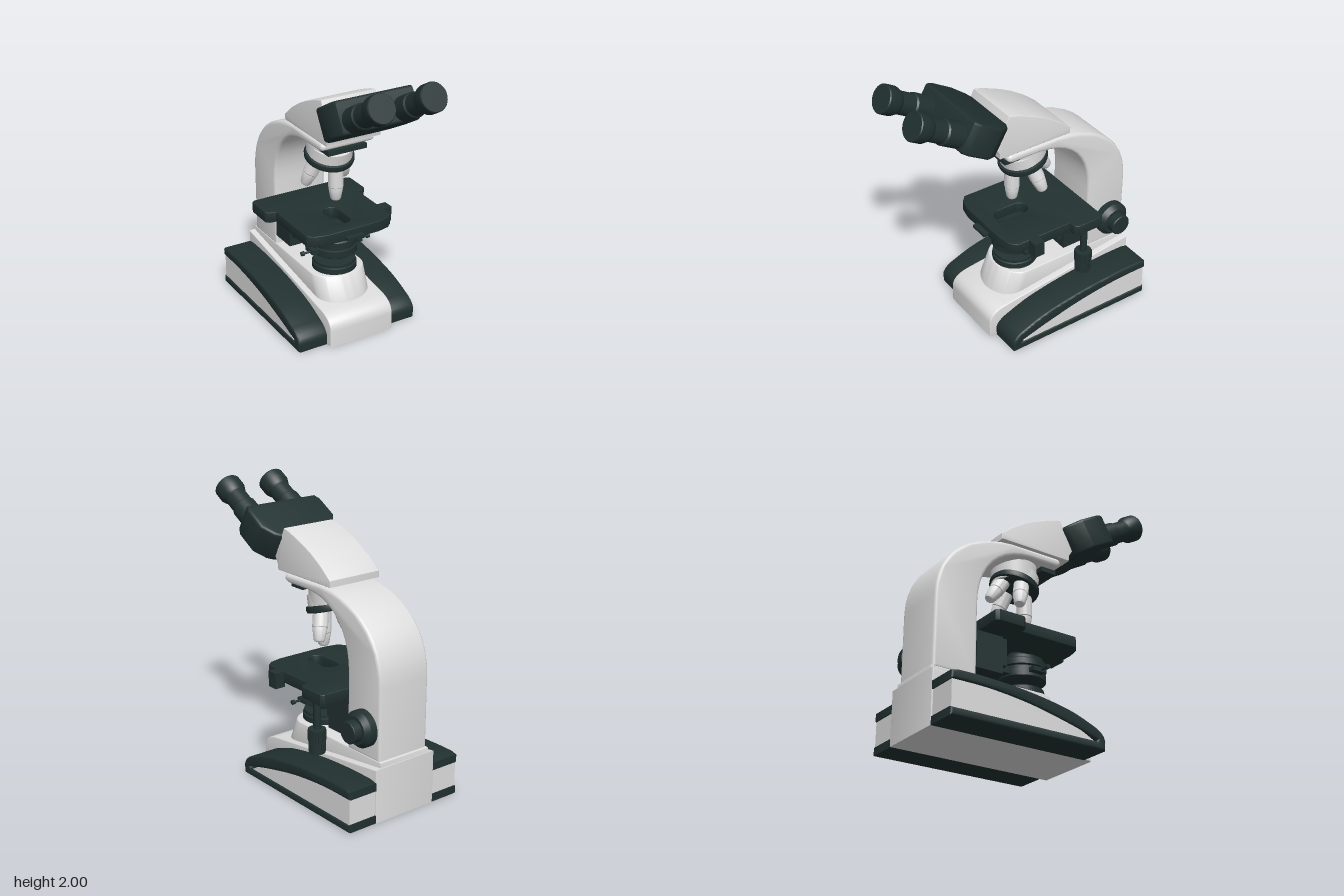
import * as THREE from 'three';
import { toCreasedNormals } from 'three/addons/utils/BufferGeometryUtils.js';

const light = new THREE.MeshStandardMaterial({ color: 0xdedede });
light.name = 'light enamel';
const dark = new THREE.MeshStandardMaterial({ color: 0x223131 });
dark.name = 'dark green black';

const V = (p) => new THREE.Vector2(p[0], p[1]);

function add(parent, name, geometry, material, x = 0, y = 0, z = 0) {
  const mesh = new THREE.Mesh(geometry, material);
  mesh.name = name;
  mesh.position.set(x, y, z);
  parent.add(mesh);
  return mesh;
}

function extrude(shape, depth, bevel) {
  return new THREE.ExtrudeGeometry(shape, {
    depth: depth - 2 * bevel, curveSegments: 10, bevelEnabled: bevel > 0,
    bevelThickness: bevel, bevelSize: bevel, bevelOffset: -bevel, bevelSegments: 3,
  }).translate(0, 0, bevel - depth / 2);
}

// Side profile in (z, y), extruded across x and centred on x = 0
const across = (shape, width, bevel = 0) =>
  toCreasedNormals(extrude(shape, width, bevel).rotateY(-Math.PI / 2), 0.6);

// Plan shape in (x, z), extruded in y and centred on y = 0
const plate = (shape, thick, bevel = 0) =>
  toCreasedNormals(extrude(shape, thick, bevel).rotateX(Math.PI / 2), 0.6);

const polygon = (points) => new THREE.Shape(points.map(V));
const box = (w, h, d) => new THREE.BoxGeometry(w, h, d);
const cyl = (r, h, r2 = r) => new THREE.CylinderGeometry(r, r2, h, 40);
const lathe = (points) => toCreasedNormals(new THREE.LatheGeometry(points.map(V), 36), 0.5);

function buildBase(root) {
  const base = new THREE.Group();
  base.name = 'base';
  root.add(base);

  // Central block with rounded toe and sloping top
  const body = new THREE.Shape();
  body.moveTo(0.335, 0);
  body.lineTo(0.335, 0.12);
  body.bezierCurveTo(0.335, 0.18, 0.3, 0.22, 0.2, 0.235);
  body.lineTo(-0.872, 0.375);
  body.lineTo(-0.872, 0);
  add(base, 'baseBlock', across(body, 0.5, 0.008), light);

  // Pedestal: round-nosed plan whose nose leans forward towards the bottom
  const plan = new THREE.Shape();
  plan.moveTo(-0.205, -0.86);
  plan.lineTo(0.205, -0.86);
  plan.lineTo(0.205, -0.02);
  plan.absellipse(0, -0.02, 0.205, 0.15, 0, Math.PI, false);
  const pedestal = extrude(plan, 0.21, 0.006).rotateX(Math.PI / 2).translate(0, 0.305, 0);
  const p = pedestal.attributes.position;
  for (let i = 0; i < p.count; i++) {
    if (p.getZ(i) > -0.1) p.setZ(i, p.getZ(i) + (0.41 - p.getY(i)) * 0.42);
  }
  pedestal.computeVertexNormals();
  add(base, 'pedestal', toCreasedNormals(pedestal, 0.6), light);

  // Side feet: dark shell open to the rear, with a light panel inside
  const shell = new THREE.Shape();
  shell.moveTo(0.28, 0);
  shell.lineTo(0.285, 0.06);
  shell.quadraticCurveTo(0.28, 0.115, 0.2, 0.15);
  shell.splineThru([[0, 0.22], [-0.3, 0.272], [-0.6, 0.295], [-0.82, 0.297]].map(V));
  shell.lineTo(-0.87, 0.285);
  shell.lineTo(-0.87, 0.23);
  shell.splineThru([[-0.6, 0.226], [-0.3, 0.192], [0, 0.127], [0.22, 0.065]].map(V));
  shell.lineTo(0.215, 0.055);
  shell.lineTo(-0.87, 0.055);
  shell.lineTo(-0.87, 0);
  const panel = new THREE.Shape();
  panel.moveTo(0.225, 0.04);
  panel.splineThru([[0, 0.14], [-0.3, 0.205], [-0.6, 0.24], [-0.862, 0.245]].map(V));
  panel.lineTo(-0.862, 0.04);
  for (const s of [1, -1]) {
    const side = s > 0 ? 'left' : 'right';
    add(base, side + 'FootShell', across(shell, 0.24, 0.015), dark, s * 0.352);
    add(base, side + 'FootPanel', across(panel, 0.22), light, s * 0.352);
  }

  // Lamp housing on the pedestal
  add(base, 'lampHousing', lathe([[0, 0], [0.158, 0], [0.158, 0.045], [0.148, 0.05],
    [0.148, 0.07], [0.125, 0.075], [0, 0.07]]), dark, 0, 0.405, -0.04);
}

function buildArm(root) {
  const s = new THREE.Shape();
  s.moveTo(-0.845, 0.4);
  s.lineTo(-0.845, 0.9);
  s.bezierCurveTo(-0.845, 1.18, -0.66, 1.37, -0.35, 1.43);
  s.lineTo(-0.25, 1.44);
  s.lineTo(0.11, 1.44);
  s.quadraticCurveTo(0.147, 1.44, 0.147, 1.41);
  s.quadraticCurveTo(0.147, 1.385, 0.1, 1.38);
  s.lineTo(-0.1, 1.38);
  s.bezierCurveTo(-0.36, 1.37, -0.525, 1.2, -0.525, 0.92);
  s.lineTo(-0.525, 0.4);
  add(root, 'arm', across(s, 0.412, 0.022), light);

  // Focus knob on the left side
  const knob = add(root, 'focusKnob', lathe([[0, 0], [0.1, 0], [0.125, 0.015], [0.125, 0.065],
    [0.095, 0.1], [0.075, 0.1], [0.075, 0.155], [0.07, 0.16], [0, 0.16]]), dark, 0.2, 0.61, -0.712);
  knob.rotation.z = -Math.PI / 2;
}

function buildHead(root) {
  const profile = polygon([[0.145, 1.75], [0.09, 1.738], [0.035, 1.718], [-0.06, 1.68], [-0.15, 1.635],
    [-0.25, 1.572], [-0.345, 1.495], [-0.345, 1.45], [0.215, 1.45], [0.217, 1.49], [0.245, 1.535]]);
  add(root, 'headPrismHousing', across(profile, 0.415, 0.004), light);
  add(root, 'headCollar', cyl(0.13, 0.04), light, 0, 1.445, -0.02);

  // Binocular part: local z runs along the tilted viewing axis
  const bino = new THREE.Group();
  bino.name = 'binocular';
  bino.position.set(0, 1.6, 0.22);
  bino.rotation.x = -Math.PI / 6;
  root.add(bino);
  const plan = polygon([[-0.2, -0.012], [0.2, -0.012], [0.25, 0.02], [0.31, 0.11], [0.31, 0.28],
    [0.285, 0.33], [-0.285, 0.33], [-0.31, 0.28], [-0.31, 0.11], [-0.25, 0.02]]);
  add(bino, 'binocularBody', plate(plan, 0.226, 0.02), dark, 0, 0.002, 0);
  const tube = lathe([[0, 0.2], [0.085, 0.2], [0.085, 0.455], [0.076, 0.465], [0.076, 0.57],
    [0.085, 0.585], [0.097, 0.615], [0.097, 0.685], [0.092, 0.692], [0, 0.692]]);
  for (const s of [1, -1]) {
    add(bino, s > 0 ? 'leftEyepiece' : 'rightEyepiece', tube, dark, s * 0.188, -0.027, 0)
      .rotation.x = Math.PI / 2;
  }
}

function buildNosepiece(root) {
  add(root, 'nosepieceMount', cyl(0.16, 0.14, 0.155), light, 0, 1.315, -0.11);
  add(root, 'nosepieceCatch', box(0.3, 0.034, 0.12), dark, 0, 1.358, 0.08);

  // Tilted turret; the front objective hangs vertically
  const tilt = 0.296;
  const turret = new THREE.Group();
  turret.name = 'turret';
  turret.position.set(0, 1.235, -0.105);
  turret.rotation.x = tilt;
  root.add(turret);
  add(turret, 'turretCone', cyl(0.152, 0.09, 0.158), light, 0, 0.055, 0);
  add(turret, 'turretRing', lathe([[0, -0.026], [0.15, -0.026], [0.172, -0.02], [0.176, 0],
    [0.172, 0.02], [0.15, 0.026], [0, 0.026]]), dark);
  [0.26, 0.21, 0.195, 0.21].forEach((len, i) => {
    const arm = new THREE.Group();
    arm.name = 'objective' + (i + 1);
    arm.rotation.y = i * Math.PI / 2;
    turret.add(arm);
    const barrel = lathe([[0, -len], [0.03, -len], [0.038, -len + 0.012], [0.049, -len + 0.075],
      [0.049, -len + 0.095], [0.053, -len + 0.1], [0.053, 0], [0, 0]]);
    add(arm, 'objectiveBarrel', barrel, light, 0, -0.015, 0.095).rotation.x = -tilt;
  });
}

function buildStage(root) {
  const stage = new THREE.Group();
  stage.name = 'stage';
  root.add(stage);

  // Stage plate with a slotted light opening
  const plan = polygon([[-0.385, -0.51], [0.385, -0.51], [0.405, -0.49], [0.405, -0.3], [0.38, -0.275],
    [0.335, -0.27], [0.335, 0.16], [0.29, 0.2], [0.2, 0.22], [-0.2, 0.22], [-0.29, 0.2],
    [-0.335, 0.16], [-0.335, -0.27], [-0.38, -0.275], [-0.405, -0.3], [-0.405, -0.49]]);
  const slot = new THREE.Path();
  slot.absarc(0, 0.06, 0.06, 0, Math.PI, false);
  slot.absarc(0, -0.08, 0.06, Math.PI, 2 * Math.PI, false);
  plan.holes.push(slot);
  add(stage, 'stagePlate', plate(plan, 0.078, 0.004), dark, 0, 0.771, 0);
  add(stage, 'slideCarrier', box(0.075, 0.11, 0.08), dark, 0.365, 0.755, 0.03);
  add(stage, 'frontClip', box(0.14, 0.02, 0.08), dark, 0, 0.755, 0.22);

  // Carriage linking stage to arm
  add(stage, 'carriage', box(0.4, 0.26, 0.2), dark, 0, 0.605, -0.425);
  add(stage, 'carriageFront', box(0.36, 0.19, 0.06), dark, 0, 0.64, -0.31);
  add(stage, 'condenserBracket', box(0.16, 0.05, 0.16), dark, 0, 0.575, -0.24);

  // Stacked condenser rings
  add(stage, 'condenser', lathe([[0, 0.525], [0.14, 0.525], [0.15, 0.535], [0.162, 0.54], [0.162, 0.59],
    [0.15, 0.595], [0.15, 0.615], [0.168, 0.62], [0.168, 0.66], [0.158, 0.668], [0.145, 0.67],
    [0.145, 0.695], [0.1, 0.697], [0, 0.69]]), dark, 0, 0, -0.04);
  for (const s of [1, -1]) {
    add(stage, 'condenserScrew', cyl(0.008, 0.14), dark, s * 0.21, 0.575, -0.02).rotation.z = Math.PI / 2;
    add(stage, 'condenserScrewHead', cyl(0.016, 0.022), dark, s * 0.265, 0.575, -0.02).rotation.z = Math.PI / 2;
    add(stage, 'condenserLug', box(0.07, 0.03, 0.1), dark, s * 0.17, 0.575, -0.04);
  }

  // Hanging stage control with ribbed grips
  const control = new THREE.Group();
  control.name = 'stageControl';
  control.position.set(0.348, 0, -0.388);
  stage.add(control);
  add(control, 'controlShaft', cyl(0.025, 0.24), dark, 0, 0.63, 0);
  add(control, 'upperGrip', cyl(0.058, 0.085), dark, 0, 0.487, 0);
  add(control, 'lowerGrip', cyl(0.052, 0.085), dark, 0, 0.402, 0);
  for (let i = 0; i < 14; i++) {
    const a = i / 14 * Math.PI * 2;
    for (const [r, y] of [[0.058, 0.487], [0.052, 0.402]]) {
      add(control, 'gripRib', box(0.011, 0.072, 0.01), dark, r * Math.sin(a), y, r * Math.cos(a)).rotation.y = a;
    }
  }
}

export function createModel() {
  const root = new THREE.Group();
  root.name = 'microscope';
  buildBase(root);
  buildArm(root);
  buildHead(root);
  buildNosepiece(root);
  buildStage(root);
  return root;
}
